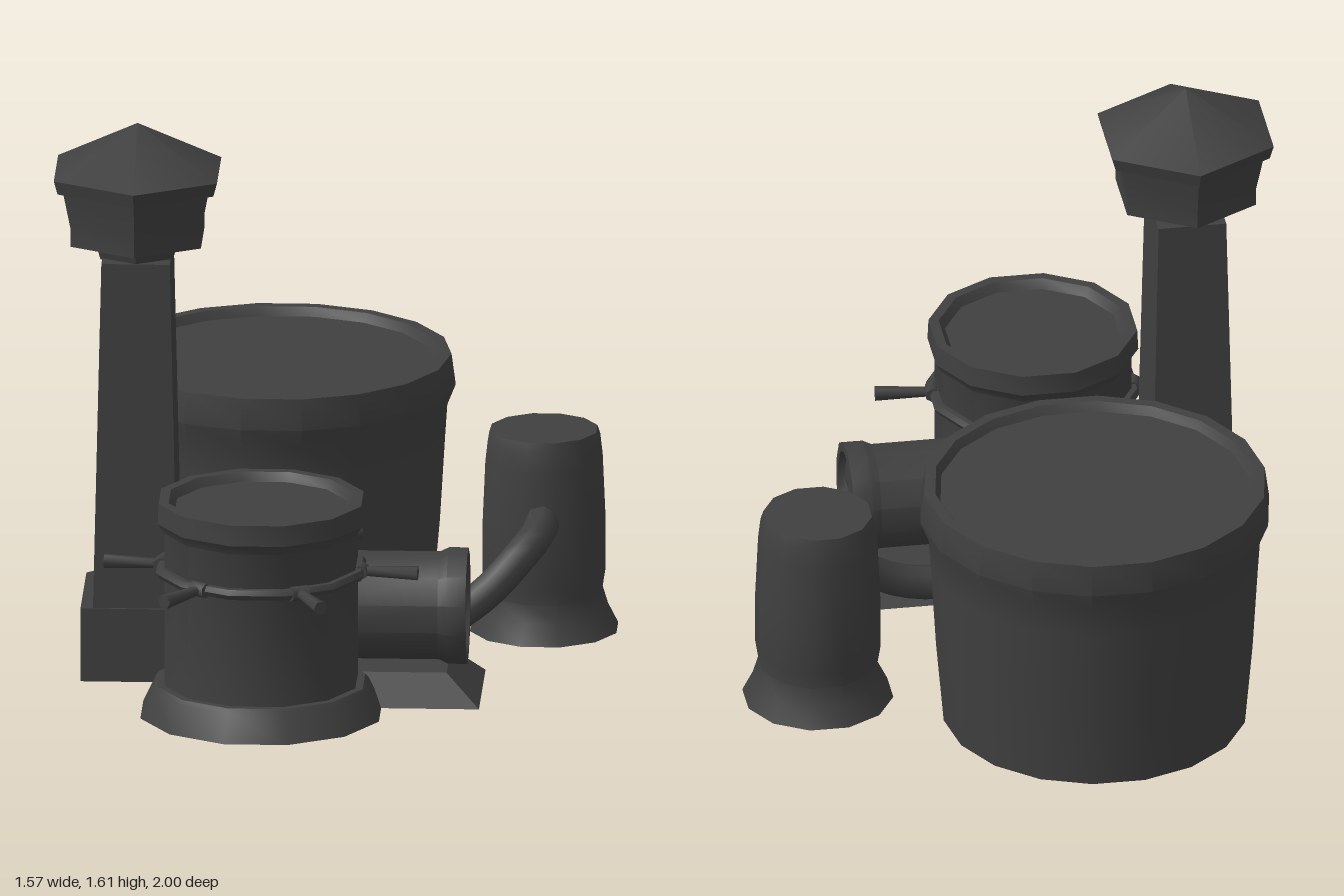
import * as THREE from 'three';
import { toCreasedNormals } from 'three/addons/utils/BufferGeometryUtils.js';

const material = new THREE.MeshStandardMaterial({ color: 0x404040, side: THREE.DoubleSide });

export function createModel() {
  const model = new THREE.Group();

  function add(name, geometry, x = 0, y = 0, z = 0, parent = model, crease = 0.6) {
    const mesh = new THREE.Mesh(toCreasedNormals(geometry, crease), material);
    mesh.name = name;
    mesh.position.set(x, y, z);
    parent.add(mesh);
    return mesh;
  }

  // Turned part from [radius, height] pairs, listed bottom to top
  function turned(points, sides, phase = 0) {
    return new THREE.LatheGeometry(points.map(p => new THREE.Vector2(...p)), sides, phase);
  }

  // Block open underneath, between two [x, z] outlines (counterclockwise from above)
  function openBlock(bottom, top, y0, y1) {
    const n = bottom.length;
    const corners = [...bottom.map(([x, z]) => [x, y0, z]), ...top.map(([x, z]) => [x, y1, z])];
    const index = [];
    for (let i = 0; i < n; i++) {
      const j = (i + 1) % n;
      index.push(i, j, n + j, i, n + j, n + i);
      if (i > 0 && i < n - 1) index.push(n, n + i, n + j);
    }
    const geometry = new THREE.BufferGeometry();
    geometry.setAttribute('position', new THREE.Float32BufferAttribute(corners.flat(), 3));
    geometry.setIndex(index);
    return geometry;
  }

  const rectangle = (x0, x1, z0, z1) => [[x1, z1], [x1, z0], [x0, z0], [x0, z1]];
  const twelfth = Math.PI / 12;

  // Large tub with a recessed lid
  add('largeTub', turned([
    [0.433, 0], [0.455, 0.25], [0.47, 0.5], [0.476, 0.59], [0.5, 0.65],
    [0.488, 0.74], [0.457, 0.74], [0.442, 0.715], [0, 0.715],
  ], 18, Math.PI / 2), -0.185, 0, -0.51);

  // Small boiler: skirt, body, rim and recessed lid
  const bx = -0.185, bz = 0.585;
  add('boiler', turned([
    [0.35, 0], [0.312, 0.08], [0.302, 0.092], [0.28, 0.092], [0.28, 0.54],
    [0.3, 0.57], [0.297, 0.63], [0.268, 0.63], [0.25, 0.605], [0, 0.605],
  ], 12, twelfth), bx, 0, bz);

  // Ring around the boiler with six handles
  const ring = new THREE.Group();
  ring.name = 'handleRing';
  ring.position.set(bx, 0.425, bz);
  model.add(ring);
  const hoop = new THREE.TorusGeometry(0.288, 0.017, 6, 12);
  hoop.rotateZ(twelfth).rotateX(Math.PI / 2);
  add('hoop', hoop, 0, 0, 0, ring);
  for (let i = 0; i < 6; i++) {
    const handle = new THREE.Group();
    handle.name = 'handle';
    handle.rotation.y = -(i * Math.PI / 3 + 0.09);
    ring.add(handle);
    const bar = new THREE.CylinderGeometry(0.021, 0.013, 0.17, 6).rotateZ(-Math.PI / 2);
    add('grip', bar, 0.363, 0, 0, handle, 1.2);
    const knuckle = new THREE.CylinderGeometry(0.022, 0.022, 0.05, 6).rotateX(Math.PI / 2);
    add('knuckle', knuckle, 0.285, 0, 0, handle, 1.2);
  }

  // Horizontal fire port with a flanged, recessed door
  const port = turned([
    [0.153, -0.1], [0.153, 0.31], [0.165, 0.335], [0.165, 0.39],
    [0.138, 0.39], [0.13, 0.37], [0, 0.37],
  ], 12, twelfth).rotateZ(-Math.PI / 2);
  add('firePort', port, 0, 0.25, 0.35);
  for (let i = 0; i < 4; i++) {
    const spoke = new THREE.ConeGeometry(0.011, 0.13, 4).translate(0, 0.065, 0);
    add('doorSpoke', spoke, 0.375, 0.25, 0.35).rotation.x = i * Math.PI / 2;
  }

  // Sloped plinth beneath the port
  add('portPlinth', openBlock(
    rectangle(-0.1, 0.43, 0.14, 0.54), rectangle(-0.1, 0.335, 0.215, 0.465), 0, 0.085));

  // Flared vessel
  add('smallVessel', turned([
    [0.215, 0], [0.185, 0.06], [0.17, 0.11], [0.178, 0.16], [0.178, 0.32],
    [0.17, 0.5], [0.163, 0.56], [0.155, 0.585], [0, 0.585],
  ], 12, twelfth), 0.575, 0, -0.3);

  // Bent pipe feeding the vessel
  const path = new THREE.CatmullRomCurve3([
    [-0.12, 0.08, 0.11], [0.1, 0.085, 0.115], [0.27, 0.11, 0.105], [0.42, 0.2, 0.075],
    [0.53, 0.31, 0.02], [0.572, 0.35, -0.055], [0.575, 0.355, -0.16],
  ].map(p => new THREE.Vector3(...p)));
  add('feedPipe', new THREE.TubeGeometry(path, 20, 0.05, 8), 0, 0, 0, model, 1);

  // Chimney base: a block with two opposite corners cut off
  const outline = [
    [-0.71, -0.05], [-0.71, 0.31], [-0.31, 0.31], [-0.17, 0.17], [-0.17, -0.19], [-0.57, -0.19],
  ];
  add('chimneyBase', openBlock(outline, outline, 0, 0.215));

  // Tapered rectangular chimney shaft
  const cx = -0.555, cz = 0.165;
  add('chimneyShaft', openBlock(
    rectangle(cx - 0.12, cx + 0.12, cz - 0.138, cz + 0.138),
    rectangle(cx - 0.097, cx + 0.097, cz - 0.122, cz + 0.122), 0.21, 1.225));

  // Six-sided collar and cap
  add('chimneyCap', turned([
    [0.118, 1.22], [0.134, 1.27], [0.213, 1.27], [0.213, 1.32], [0.237, 1.43],
    [0.255, 1.43], [0.267, 1.47], [0, 1.607],
  ], 6), cx, 0, cz);

  // Duct joining boiler and tub, with an angled brace (profile in z, y)
  const profile = new THREE.Shape([
    [-0.33, 0.45], [-0.02, 0.45], [0.06, 0.36], [0.06, 0.525], [-0.33, 0.525],
  ].map(p => new THREE.Vector2(...p)));
  const duct = new THREE.ExtrudeGeometry(profile, { depth: 0.155, bevelEnabled: false });
  add('connectingDuct', duct.rotateY(Math.PI / 2), -0.265, 0, 0);

  return model;
}
